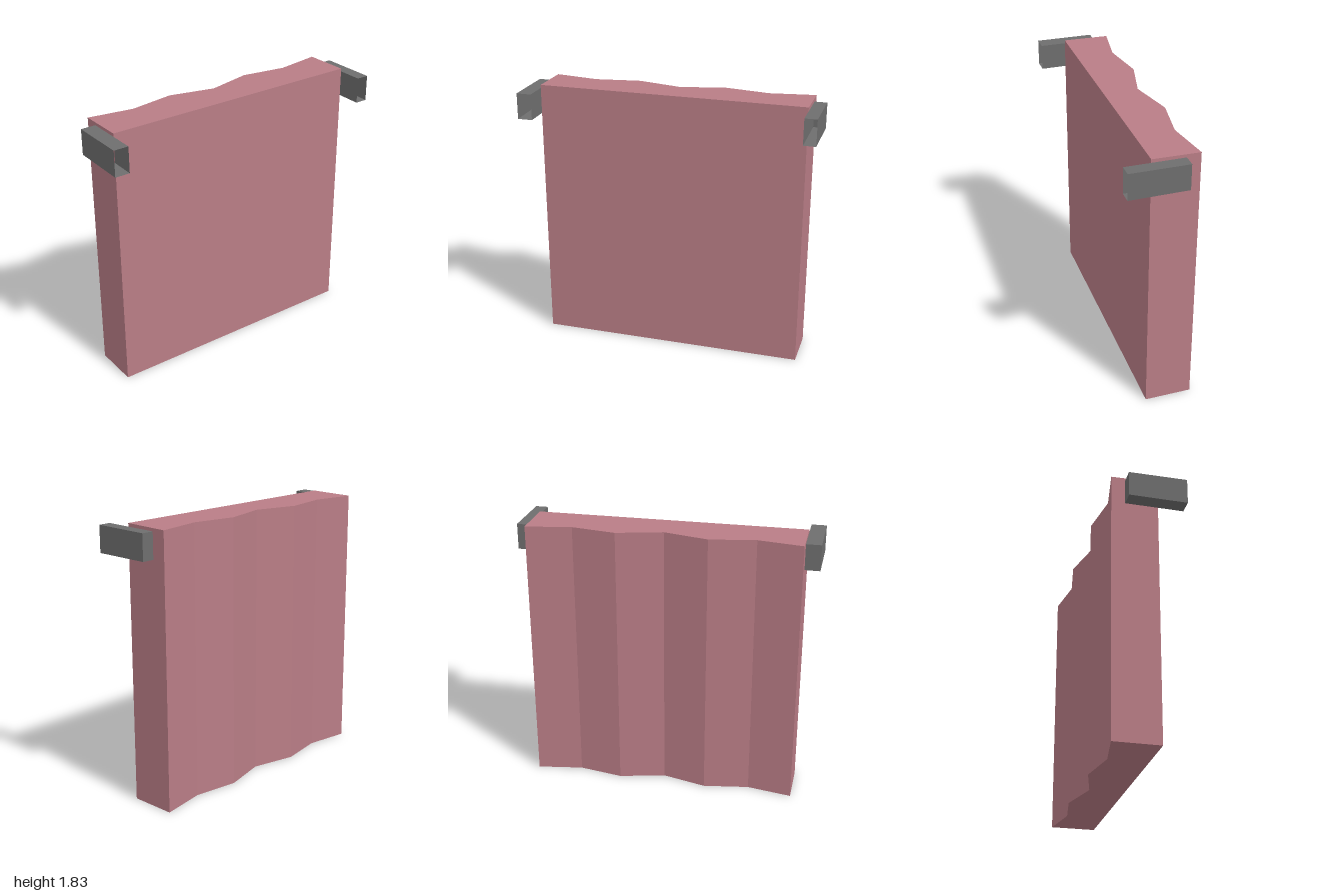
import * as THREE from 'three';

const pink = new THREE.MeshStandardMaterial({ name: 'dusty pink', color: 0xb97d86, flatShading: true });
const grey = new THREE.MeshStandardMaterial({ name: 'bracket grey', color: 0x6e6e6e, flatShading: true, side: THREE.DoubleSide });

// Lower the top vertices slightly towards the back
function slopeTop(geometry, topY, frontZ, slope) {
  const p = geometry.attributes.position;
  for (let i = 0; i < p.count; i++) {
    if (p.getY(i) > topY - 0.001) p.setY(i, topY - (frontZ - p.getZ(i)) * slope);
  }
  geometry.computeVertexNormals();
  return geometry;
}

// Slab with a flat front and a pleated back
function makePanel() {
  const frontZ = 0.07, height = 1.826;
  const back = [[0.915, -0.24], [0.61, -0.19], [0.31, -0.24], [0.005, -0.165],
    [-0.295, -0.24], [-0.6, -0.19], [-0.9, -0.24]];
  const outline = [[-0.9, frontZ], [0.915, frontZ], ...back];
  const shape = new THREE.Shape(outline.map(([x, z]) => new THREE.Vector2(x, -z)));
  const geometry = new THREE.ExtrudeGeometry(shape, { depth: height, bevelEnabled: false });
  geometry.rotateX(-Math.PI / 2);
  const mesh = new THREE.Mesh(slopeTop(geometry, height, frontZ, 0.02), pink);
  mesh.name = 'pleatedPanel';
  return mesh;
}

// Box sleeve, closed at the back and open at the front
function makeBracket(name, x0, x1) {
  const y0 = 1.63, y1 = 1.806, z0 = -0.148, z1 = 0.24;
  const geometry = new THREE.BoxGeometry(x1 - x0, y1 - y0, z1 - z0);
  geometry.translate((x0 + x1) / 2, (y0 + y1) / 2, (z0 + z1) / 2);
  // drop the +z face
  geometry.setIndex(Array.from(geometry.index.array).filter((_, i) => i < 24 || i >= 30));
  geometry.clearGroups();
  const mesh = new THREE.Mesh(slopeTop(geometry, y1, z1, 0.01), grey);
  mesh.name = name;
  return mesh;
}

export function createModel() {
  const model = new THREE.Group();
  model.name = 'pleatedPanelWithBrackets';
  model.add(
    makePanel(),
    makeBracket('leftBracket', 0.917, 1),
    makeBracket('rightBracket', -1, -0.9),
  );
  return model;
}
